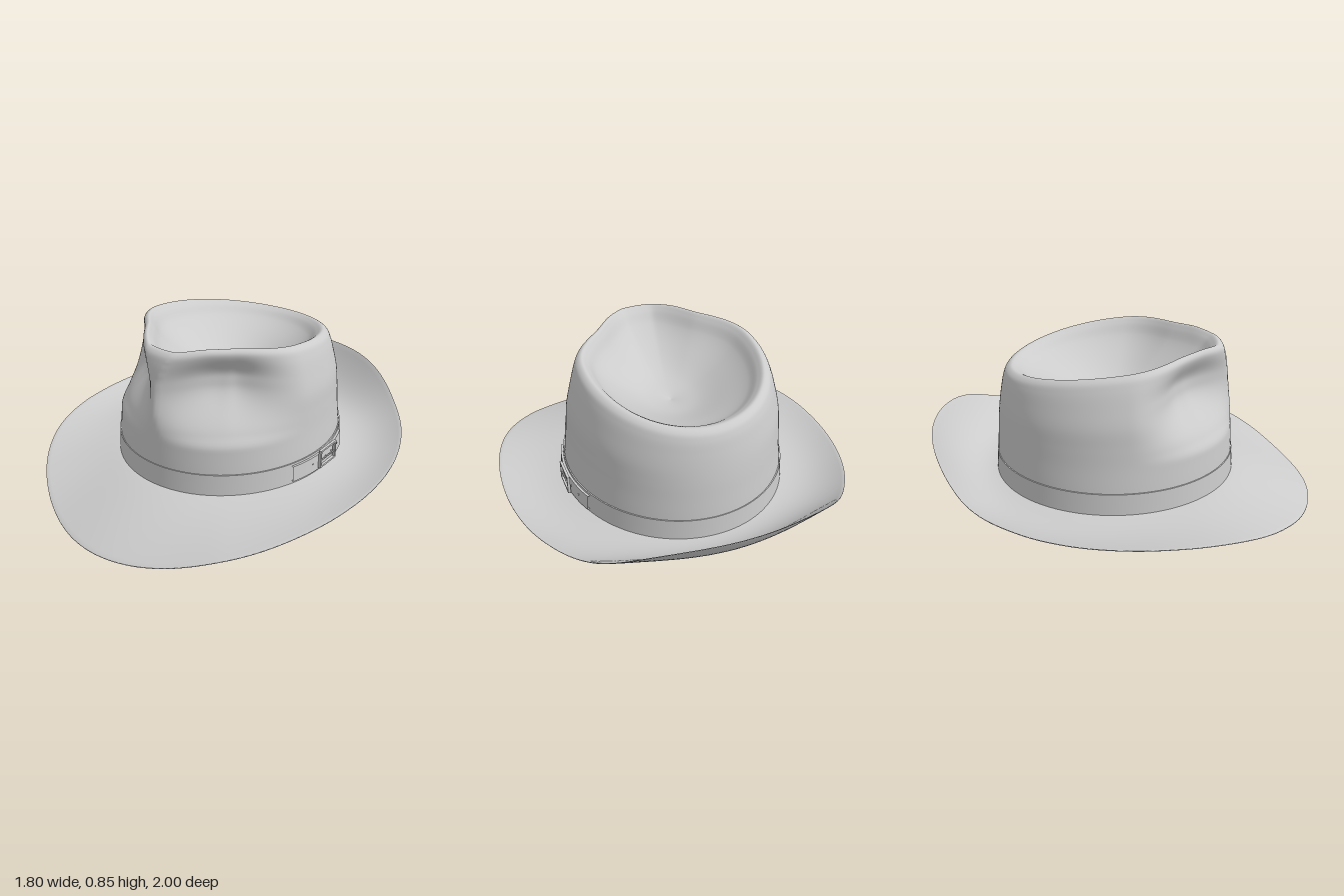
import * as THREE from 'three';
import { toCreasedNormals } from 'three/addons/utils/BufferGeometryUtils.js';

const CZ = -0.055; // centre of the crown along z
const V2 = (x, y) => new THREE.Vector2(x, y);
const V3 = (x, y, z) => new THREE.Vector3(x, y, z);
const smooth = (a, b, x) => THREE.MathUtils.smoothstep(x, a, b);
const lerp = THREE.MathUtils.lerp;
const felt = new THREE.MeshStandardMaterial({ color: 0xcccccc, side: THREE.DoubleSide });

// Grid of rows x cols from a point function; columns wrap round when closed.
function grid(rows, cols, closed, point) {
  const pos = [], idx = [];
  const n = closed ? cols : cols + 1;
  for (let i = 0; i <= rows; i++)
    for (let j = 0; j < n; j++) pos.push(...point(i, j / cols));
  for (let i = 0; i < rows; i++)
    for (let j = 0; j < cols; j++) {
      const k = (j + 1) % n;
      const a = i * n + j, b = i * n + k, c = a + n, d = b + n;
      idx.push(a, b, d, a, d, c);
    }
  const g = new THREE.BufferGeometry();
  g.setAttribute('position', new THREE.Float32BufferAttribute(pos, 3));
  g.setIndex(idx);
  g.computeVertexNormals();
  return g;
}

function add(parent, name, geometry) {
  const m = new THREE.Mesh(geometry, felt);
  m.name = name;
  parent.add(m);
  return m;
}

// Crown profile as (half width, height, half length): wall, rounded crest, hollow top
const profile = new THREE.CatmullRomCurve3([
  V3(0.572, 0.16, 0.625), V3(0.562, 0.28, 0.62), V3(0.55, 0.4, 0.612), V3(0.543, 0.5, 0.605),
  V3(0.535, 0.6, 0.595), V3(0.513, 0.7, 0.582), V3(0.488, 0.79, 0.567), V3(0.469, 0.833, 0.552),
  V3(0.441, 0.85, 0.526), V3(0.412, 0.825, 0.495), V3(0.37, 0.765, 0.445), V3(0.28, 0.685, 0.335),
  V3(0.145, 0.6, 0.175), V3(0, 0.56, 0),
]);

// Depth of the pinch beside the front ridge; the ridge widens towards the crest
function pinch(fromFront, y) {
  const start = 0.02 + 0.17 * Math.min(1, ((y - 0.6) / 0.25) ** 2);
  const rise = THREE.MathUtils.clamp((fromFront - start) / 0.6, 0, 1);
  const around = Math.sin(rise * Math.PI / 2) * (1 - smooth(0.75, 1.45, fromFront));
  const up = 0.12 * smooth(0.4, 0.46, y) + 0.88 * smooth(0.42, 0.66, y);
  return 0.27 * around * up * (1 - 0.5 * smooth(0.7, 0.85, y));
}

function crownGeometry() {
  const rows = 104;
  return grid(rows, 180, true, (i, u) => {
    const p = profile.getPoint(i / rows);
    const a = u * Math.PI * 2;
    const fromFront = Math.min(a, Math.PI * 2 - a);
    const outside = i / rows < 8 / 13;
    const r = 1 - (outside ? pinch(fromFront, p.y) : pinch(fromFront, 0.85) * p.x / 0.441);
    const x = p.x * r * Math.sin(a);
    const z = CZ + p.z * r * Math.cos(a);
    // crest slopes down to the back and dips a little at the front
    const crest = 0.825 + 0.11 * z - 0.09 * z * z - 0.018 * smooth(0.36, 0.5, z);
    const k = (p.y - 0.16) / 0.69;
    return [x, p.y + (crest - 0.85) * k * k, z];
  });
}

// Height of the brim's edge at even steps from front (z = 1) to back (z = -1)
const edge = new THREE.SplineCurve(
  [0.002, 0.09, 0.152, 0.178, 0.188, 0.198, 0.218, 0.262, 0.415].map((y, i) => V2(1 - i / 4, y)));

function brimGeometry() {
  const n = 20;
  return grid(2 * n + 1, 180, true, (i, u) => {
    const top = i > n;
    const t = (top ? 2 * n + 1 - i : i) / n; // 0 at the crown, 1 at the edge
    const a = u * Math.PI * 2, s = Math.sin(a), c = Math.cos(a);
    const ox = 0.9 * s * (1 + 0.1 * s * s * c * c + (c < 0 ? 0.1 * c ** 4 : -0.1 * c ** 6));
    const power = lerp(2.3, 1.25, smooth(-0.4, 0.9, c));
    const ey = edge.getPoint((1 - c) / 2).y;
    const y = 0.157 + (ey - 0.157) * t ** power - 0.014 * Math.sin(Math.PI * t) * s * s * (1 - 0.6 * c);
    return [lerp(0.565 * s, ox, t), y + (top ? lerp(0.01, 0.005, t) : 0), lerp(CZ + 0.618 * c, c, t)];
  });
}

// Strip wrapped round the crown, from angle a0 to a1
function strip(a0, a1, y0, y1, inner, outer, closed) {
  const section = [[inner, y0], [outer, y0], [outer - 0.007, y1], [inner - 0.007, y1], [inner, y0]];
  const g = grid(4, closed ? 160 : 30, closed, (i, u) => {
    const a = lerp(a0, a1, u), [off, y] = section[i];
    return [(0.572 + off) * Math.sin(a), y, CZ + (0.625 + off) * Math.cos(a)];
  });
  return toCreasedNormals(g, 0.7);
}

function rectangle(Type, w, h) {
  const s = new Type();
  s.moveTo(-w, -h).lineTo(w, -h).lineTo(w, h).lineTo(-w, h).closePath();
  return s;
}

function buckle() {
  const group = new THREE.Group();
  group.name = 'buckle';
  const frame = rectangle(THREE.Shape, 0.072, 0.05);
  frame.holes.push(rectangle(THREE.Path, 0.062, 0.04));
  add(group, 'buckleFrame', new THREE.ExtrudeGeometry(frame, { depth: 0.014, bevelEnabled: false }));
  add(group, 'buckleProng', new THREE.BoxGeometry(0.13, 0.006, 0.006)).position.set(0, -0.01, 0.008);
  group.position.set(0.587, 0.238, -0.09);
  group.rotation.y = Math.PI / 2;
  return group;
}

export function createModel() {
  const hat = new THREE.Group();
  hat.name = 'hat';
  add(hat, 'crown', crownGeometry());
  add(hat, 'brim', brimGeometry());
  add(hat, 'band', strip(0, Math.PI * 2, 0.16, 0.274, 0, 0.006, true));
  add(hat, 'strap', strip(1.235, 1.98, 0.182, 0.262, 0.004, 0.018, false));
  hat.add(buckle());
  // strap holes
  for (const z of [0.02, -0.09, -0.15, -0.23]) {
    const a = Math.acos((z - CZ) / 0.64);
    const hole = add(hat, 'strapHole', new THREE.CylinderGeometry(0.005, 0.005, 0.006, 10));
    hole.position.set(0.586 * Math.sin(a), 0.225, z);
    hole.rotation.set(0, a - Math.PI / 2, Math.PI / 2);
  }
  return hat;
}
